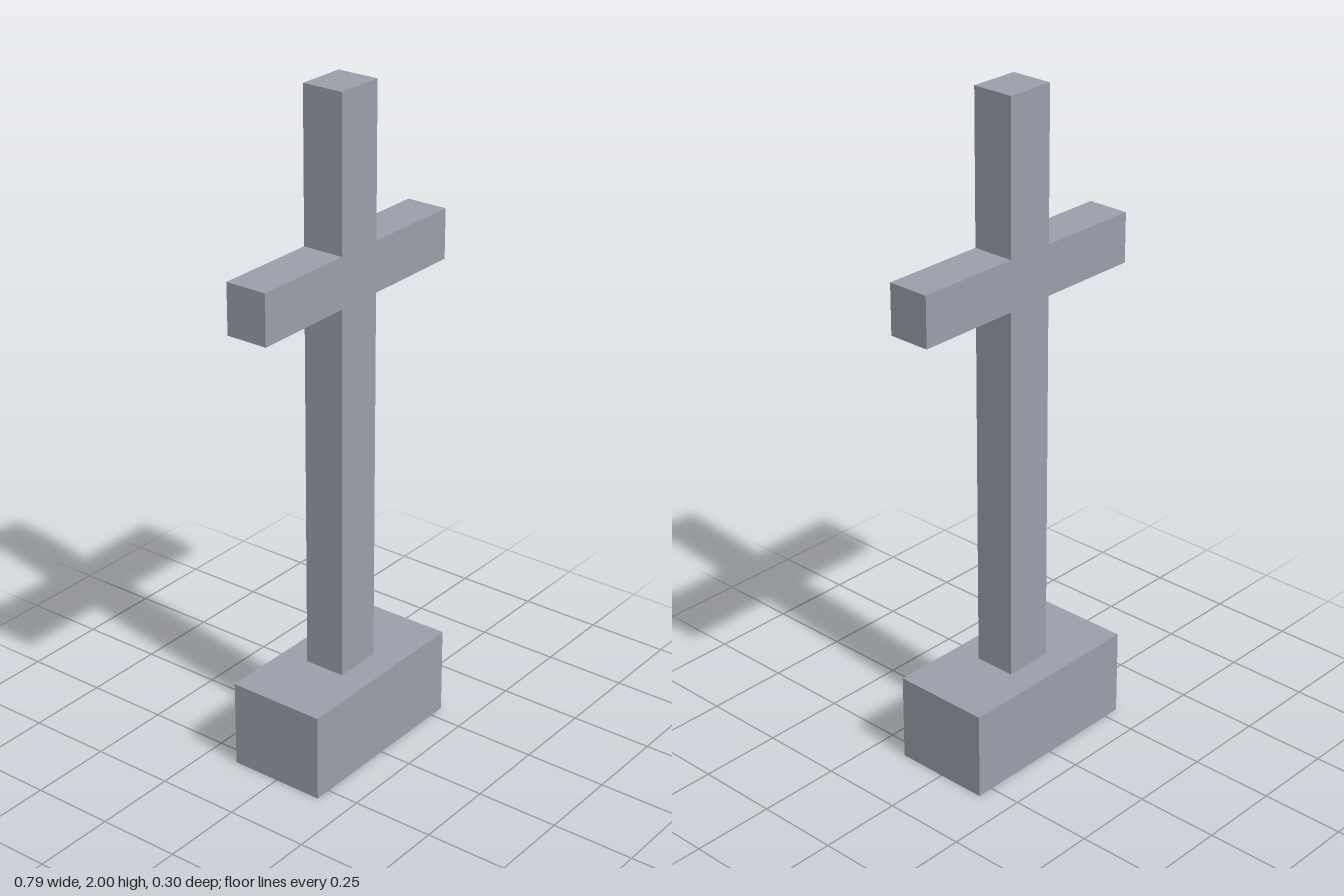
import * as THREE from 'three';

export function createModel() {
  const group = new THREE.Group();
  const stone = new THREE.MeshStandardMaterial({ color: 0x9b9faa });
  stone.name = 'grey stone';

  const baseTop = 0.265, top = 2;
  const halfPost = 0.075, halfArm = 0.395;
  const armBottom = 1.4, armTop = 1.55;
  const depth = 0.128;

  // Plinth
  const base = new THREE.Mesh(new THREE.BoxGeometry(0.6, baseTop, 0.3), stone);
  base.name = 'base';
  base.position.y = baseTop / 2;
  group.add(base);

  // Post and crossbar as one outline: right side going up, mirrored going down
  const rightSide = [
    [halfPost, baseTop], [halfPost, armBottom], [halfArm, armBottom],
    [halfArm, armTop], [halfPost, armTop], [halfPost, top],
  ];
  const leftSide = rightSide.map(([x, y]) => [-x, y]).reverse();
  const outline = [...rightSide, ...leftSide].map(([x, y]) => new THREE.Vector2(x, y));
  const cross = new THREE.Mesh(
    new THREE.ExtrudeGeometry(new THREE.Shape(outline), { depth, bevelEnabled: false }),
    stone
  );
  cross.name = 'cross';
  cross.position.z = -depth / 2 - 0.001;
  group.add(cross);

  return group;
}
